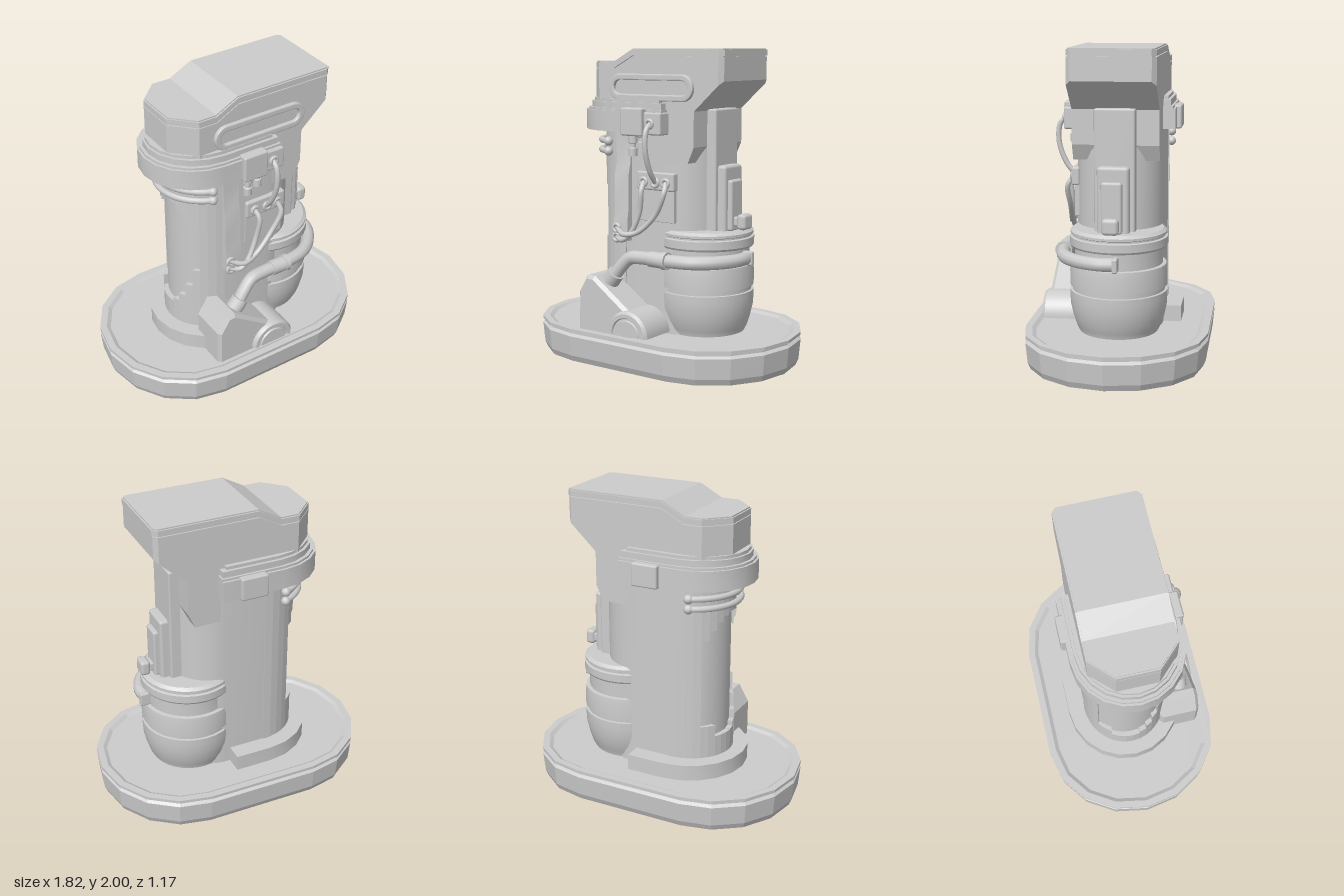
import * as THREE from 'three';
import { toCreasedNormals } from 'three/addons/utils/BufferGeometryUtils.js';
import { RoundedBoxGeometry } from 'three/addons/geometries/RoundedBoxGeometry.js';

const mat = new THREE.MeshStandardMaterial({ color: 0xcccccc, side: THREE.DoubleSide });
const V = (x, y, z) => new THREE.Vector3(x, y, z);

export function createModel() {
  const model = new THREE.Group();

  function add(name, geo, x = 0, y = 0, z = 0) {
    const mesh = new THREE.Mesh(geo, mat);
    mesh.name = name;
    mesh.position.set(x, y, z);
    model.add(mesh);
    return mesh;
  }

  // Box given by its limits, with small rounded edges
  function box(name, x0, x1, y0, y1, z0, z1, r = 0.012) {
    return add(name, new RoundedBoxGeometry(x1 - x0, y1 - y0, z1 - z0, 1, r),
      (x0 + x1) / 2, (y0 + y1) / 2, (z0 + z1) / 2);
  }

  // Skin over rings of equal point count, with optional flat ends
  function loft(rings, capStart, capEnd, crease = 0.3) {
    const p = [];
    const tri = (...v) => v.forEach((q) => p.push(q.x, q.y, q.z));
    const n = rings[0].length;
    for (let k = 0; k < rings.length - 1; k++) {
      const a = rings[k], b = rings[k + 1];
      for (let i = 0; i < n; i++) {
        const j = (i + 1) % n;
        tri(a[i], a[j], b[j]);
        tri(a[i], b[j], b[i]);
      }
    }
    const first = rings[0], last = rings[rings.length - 1];
    for (let i = 1; i < n - 1; i++) {
      if (capStart) tri(first[0], first[i + 1], first[i]);
      if (capEnd) tri(last[0], last[i], last[i + 1]);
    }
    const g = new THREE.BufferGeometry();
    g.setAttribute('position', new THREE.Float32BufferAttribute(p, 3));
    return toCreasedNormals(g, crease);
  }

  // Horizontal ring with rounded ends
  function stadium(y, xLeft, xRight, rxl, rxr, rz, n) {
    const pts = [];
    for (let i = 0; i <= n; i++) {
      const a = -Math.PI / 2 + Math.PI * i / n;
      pts.push(V(xRight + rxr * Math.cos(a), y, -rz * Math.sin(a)));
    }
    for (let i = 0; i <= n; i++) {
      const a = Math.PI / 2 + Math.PI * i / n;
      pts.push(V(xLeft + rxl * Math.cos(a), y, -rz * Math.sin(a)));
    }
    return pts;
  }

  // Upward extrusion of a plan shape drawn as [x, z]
  function slab(points, y0, y1, crease = 0.5) {
    const s = new THREE.Shape(points.map(([x, z]) => new THREE.Vector2(x, -z)));
    const g = new THREE.ExtrudeGeometry(s, { depth: y1 - y0, bevelEnabled: false });
    return toCreasedNormals(g.rotateX(-Math.PI / 2).translate(0, y0, 0), crease);
  }

  // Plan outline rounded at -x and cut square at xEnd
  function roundEnd(cx, rx, rz, xEnd, n) {
    const pts = [[xEnd, rz]];
    for (let i = 0; i <= n; i++) {
      const a = Math.PI * i / n;
      pts.push([cx - rx * Math.sin(a), rz * Math.cos(a)]);
    }
    return [...pts, [xEnd, -rz]];
  }

  function hose(name, pts, r, seg = 40, closed = false) {
    const curve = new THREE.CatmullRomCurve3(pts.map((p) => V(...p)), closed);
    return add(name, new THREE.TubeGeometry(curve, seg, r, 10, closed));
  }

  // Base: hollow shell with groove, rim and recessed deck
  const baseProfile = [[0.08, 0.18], [0.06, 0], [0.03, 0], [0.012, 0.04], [0, 0.17], [0.02, 0.185],
    [0.02, 0.195], [0, 0.2], [0, 0.22], [0.045, 0.22], [0.07, 0.205]];
  add('base', loft(baseProfile.map(([d, y]) =>
    stadium(y, -0.37, 0.37, 0.54 - d, 0.54 - d, 0.585 - d, 8)), false, true, 0.2));

  // Main column, running through the deck
  add('column', loft([0.08, 1.6].map((y) => stadium(y, -0.14, 0.13, 0.275, 0.28, 0.275, 16)), false, true, 0.5));

  // Outer skin of the rounded end, with a stepped window
  for (let i = 0; i < 18; i++) {
    const mid = -85 + i * 10;
    const at = (deg, rx, rz) => {
      const a = THREE.MathUtils.degToRad(deg);
      return [-0.14 - rx * Math.cos(a), rz * Math.sin(a)];
    };
    const plan = [at(mid - 5, 0.27, 0.27), at(mid + 5, 0.27, 0.27), at(mid + 5, 0.31, 0.282), at(mid - 5, 0.31, 0.282)];
    const t = mid / 50;
    const low = mid < 0 ? 0.45 + (mid < -30 ? 0.08 : 0) : 0.45 + 0.4 * t * t;
    const spans = Math.abs(t) < 1 ? [[0.2, low], [1.28 - 0.2 * t * t, 1.55]] : [[0.2, 1.55]];
    spans.forEach(([a, b]) => add('endSkin', slab(plan, a, b)));
  }
  add('footSkirt', slab(roundEnd(-0.14, 0.405, 0.39, 0.1, 10), 0.2, 0.31));

  // Head and lid: rectangular sections along x as [x, half depth, bottom, top]
  const section = ([x, w, b, t]) => [V(x, b, -w), V(x, t, -w), V(x, t, w), V(x, b, w)];
  add('head', loft([[-0.5, 0.13, 1.6, 1.87], [-0.36, 0.272, 1.6, 1.87], [-0.24, 0.272, 1.6, 1.87],
    [-0.09, 0.272, 1.6, 1.95], [0.1, 0.272, 1.6, 1.95], [0.1, 0.272, 1.3, 1.95], [0.335, 0.272, 1.3, 1.95],
    [0.38, 0.272, 1.4, 1.95], [0.38, 0.272, 1.62, 1.95], [0.555, 0.272, 1.78, 1.95],
    [0.58, 0.245, 1.805, 1.95]].map(section), true, true));
  const lid = (name, d, b, t) => add(name, loft([[-0.5 + d, 0.13, 1.92], [-0.36, 0.272 - d, 1.92],
    [-0.24, 0.272 - d, 1.92], [-0.09, 0.272 - d, 2], [0.555, 0.272 - d, 2], [0.585 - d, 0.245, 2]]
    .map(([x, w, y]) => section([x, w, y - b, y - t])), true, true));
  lid('lidGroove', 0.015, 0.06, 0.04);
  lid('lid', 0, 0.045, 0.008);
  lid('lidTop', 0.01, 0.01, 0);

  // Long slot frame on the head front
  const slot = (r) => {
    const s = new THREE.Shape();
    s.absarc(0.3, 1.76, r, -Math.PI / 2, Math.PI / 2);
    s.absarc(-0.18, 1.76, r, Math.PI / 2, Math.PI * 1.5);
    return s;
  };
  const frame = slot(0.075);
  frame.holes.push(slot(0.052));
  add('slotFrame', new THREE.ExtrudeGeometry(frame, { depth: 0.03, bevelSize: 0.008, bevelThickness: 0.006, bevelSegments: 2 }), 0, 0, 0.26);

  // Collar below the head
  add('collar', slab(roundEnd(-0.23, 0.36, 0.35, 0.18, 10), 1.48, 1.61));
  add('collarEdge', slab(roundEnd(-0.23, 0.345, 0.335, 0.18, 10), 1.61, 1.625));
  add('collarStep', slab(roundEnd(-0.21, 0.345, 0.32, 0.17, 10), 1.62, 1.665));
  add('collarLip', slab(roundEnd(-0.21, 0.33, 0.3, 0.14, 10), 1.665, 1.685));
  box('frontClamp', -0.11, 0.06, 1.46, 1.635, 0.3, 0.38);
  box('collarEnd', 0.06, 0.19, 1.47, 1.61, 0.26, 0.36);
  box('rearClamp', -0.11, 0.07, 1.47, 1.62, -0.38, -0.3);

  // Plugs hanging under the clamp
  for (const [x, y] of [[-0.05, 1.33], [0.02, 1.37]]) {
    const plug = [[0, 0], [0.028, 0], [0.028, 0.05], [0.02, 0.055], [0.02, 0.08], [0.03, 0.085], [0.03, 0.14]];
    add('plug', toCreasedNormals(new THREE.LatheGeometry(plug.map((p) => new THREE.Vector2(...p)), 12), 0.5), x, y, 0.32);
  }

  // Twin tubes wrapping the rounded end
  for (const y of [1.41, 1.345]) {
    const pts = [];
    for (let i = 0; i <= 14; i++) {
      const a = THREE.MathUtils.degToRad(-66 + 132 * i / 14);
      pts.push([-0.14 - 0.34 * Math.cos(a), y, 0.31 * Math.sin(a)]);
    }
    hose('wrapTube', pts, 0.02);
    for (const p of [pts[0], pts[14]]) add('wrapTubeEnd', new THREE.SphereGeometry(0.03, 12, 8), ...p);
  }

  // Wavy strip on the column front
  const wave = [[1.5, 0.29], [1.28, 0.29], [1.2, 0.31], [1.0, 0.31], [0.9, 0.325], [0.78, 0.325]];
  add('frontStrip', loft(wave.reverse().map(([y, z]) =>
    [V(-0.205, y, 0.25), V(-0.205, y, z), V(-0.095, y, z), V(-0.095, y, 0.25)].map((v) => v)), true, true));

  // Connector plate, its backing panel and the hoses
  box('backPanel', -0.04, 0.24, 0.92, 1.14, 0.25, 0.282, 0.004);
  box('connectorPlate', -0.04, 0.25, 1.12, 1.235, 0.25, 0.302);
  for (const [x, y, z] of [[0.02, 1.17, 0.305], [0.11, 1.17, 0.305], [0.19, 1.17, 0.305], [0.11, 1.54, 0.365], [-0.18, 0.86, 0.33], [-0.18, 0.8, 0.33]]) {
    add('hoseSocket', new THREE.TorusGeometry(0.024, 0.012, 8, 16), x, y, z);
  }
  hose('upperHose', [[0.11, 1.54, 0.35], [0.11, 1.5, 0.395], [0.11, 1.38, 0.405], [0.11, 1.25, 0.36], [0.11, 1.17, 0.3]], 0.017);
  hose('innerHose', [[0.02, 1.17, 0.3], [0.03, 1.12, 0.34], [0.01, 0.98, 0.335], [-0.06, 0.83, 0.345], [-0.12, 0.79, 0.35], [-0.18, 0.8, 0.32]], 0.017);
  hose('outerHose', [[0.19, 1.17, 0.3], [0.2, 1.11, 0.335], [0.13, 0.97, 0.33], [0, 0.85, 0.345], [-0.1, 0.83, 0.36], [-0.18, 0.86, 0.32]], 0.017);

  // Stepped panels and knob on the +x side
  box('sidePilaster', 0.3, 0.445, 0.8, 1.63, -0.13, 0.125);
  box('sidePanel', 0.42, 0.5, 0.8, 1.28, -0.1, 0.1, 0.02);
  box('sideInset', 0.48, 0.53, 0.87, 1.19, -0.06, 0.07, 0.015);
  box('knobStem', 0.52, 0.56, 0.9, 0.96, -0.04, 0.045);
  box('knob', 0.55, 0.615, 0.88, 0.98, -0.05, 0.055, 0.022);

  // Canister with grooves and rounded bottom
  const can = [[0.25, 0.1], [0.25, 0.2], [0.27, 0.24], [0.29, 0.3], [0.306, 0.37], [0.31, 0.435], [0.31, 0.475],
    [0.295, 0.477], [0.295, 0.505], [0.31, 0.507], [0.31, 0.6], [0.304, 0.645], [0.28, 0.648], [0.28, 0.755],
    [0.302, 0.757], [0.31, 0.77], [0.31, 0.82], [0.295, 0.825], [0.295, 0.835], [0.306, 0.84], [0.306, 0.855], [0.285, 0.872], [0, 0.872]];
  add('canister', toCreasedNormals(new THREE.LatheGeometry(can.map((p) => new THREE.Vector2(...p)), 32), 0.5), 0.285, 0, -0.008);

  // Pipe round the canister and down to the foot housing
  hose('pipe', [[0.58, 0.695, -0.04], [0.585, 0.695, 0.08], [0.52, 0.695, 0.22], [0.4, 0.695, 0.32], [0.24, 0.695, 0.355],
    [0.05, 0.695, 0.36], [-0.04, 0.685, 0.365], [-0.1, 0.63, 0.375], [-0.16, 0.55, 0.385], [-0.22, 0.47, 0.39]], 0.043, 60);
  box('pipeEnd', 0.54, 0.63, 0.65, 0.74, -0.045, -0.01, 0.01);
  const sleeve = (name, r, len, x, y, z, tilt) => {
    add(name, toCreasedNormals(new THREE.CylinderGeometry(r, r, len, 16), 0.5), x, y, z).rotation.z = tilt;
  };
  sleeve('pipeSleeve', 0.05, 0.13, 0.18, 0.695, 0.358, Math.PI / 2);
  sleeve('pipeBand', 0.056, 0.03, 0.23, 0.695, 0.357, Math.PI / 2);
  sleeve('lowerSleeve', 0.056, 0.1, -0.17, 0.54, 0.385, -0.65);

  // Wedge housing with a bevelled front edge
  const wedge = new THREE.Shape([[-0.35, 0.2], [0.05, 0.2], [0.05, 0.33], [-0.25, 0.54], [-0.29, 0.54], [-0.35, 0.44]]
    .map((p) => new THREE.Vector2(...p)));
  add('footHousing', toCreasedNormals(new THREE.ExtrudeGeometry(wedge, { depth: 0.23, bevelSize: 0.022, bevelThickness: 0.022, bevelSegments: 1 }), 0.3), 0, 0, 0.24);

  // Half-sunk drum with a raised ring on its face
  const drum = [[0.155, 0], [0.155, 0.24], [0.14, 0.26], [0.115, 0.26], [0.11, 0.25], [0.1, 0.25], [0.095, 0.26], [0, 0.26]];
  add('footDrum', toCreasedNormals(new THREE.LatheGeometry(drum.map((p) => new THREE.Vector2(...p)), 24, Math.PI / 2, Math.PI)
    .rotateX(Math.PI / 2), 0.5), 0.04, 0.22, 0.26).rotation.z = Math.PI;
  const drumMesh = model.getObjectByName('footDrum');
  drumMesh.geometry.computeBoundingBox();
  if (drumMesh.geometry.boundingBox.max.y > 0.1) drumMesh.rotation.z = 0;

  return model;
}
